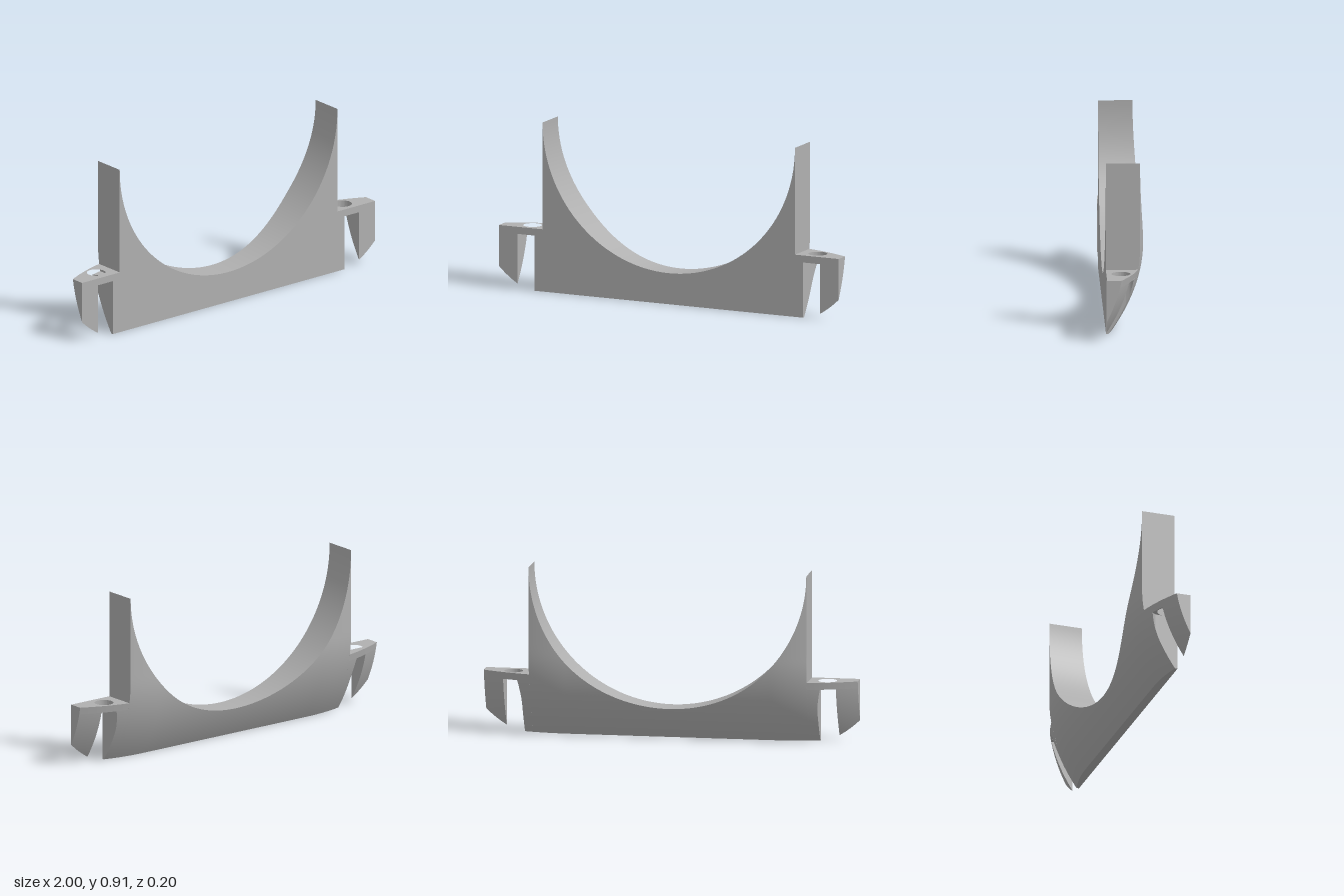
import * as THREE from 'three';
import { mergeGeometries, toCreasedNormals } from 'three/addons/utils/BufferGeometryUtils.js';

const FRONT = 0.1, R = 0.743, CY = 0.91;      // front plane, cradle radius and centre height
const ARM_TOP = 0.335, ARM_UNDER = 0.297;
const SLOT_X = 0.84, SLOT_R = 0.05, SLOT_Z = -0.006;

// curved back: rounds forward towards the bottom and towards both ends
const lower = (y) => 0.77 * Math.max(0, 0.45 - y) ** 2;
const ends = (x) => 0.57 * Math.max(0, Math.abs(x) - 0.55) ** 2;
const back = (x, y) => -0.102 + lower(y) + ends(x);
// height at which the back surface meets depth z
const meet = (x, z) => Math.max(0, 0.45 - Math.sqrt(Math.max(0, z + 0.102 - ends(x)) / 0.77));

const range = (a, b, n) => Array.from({ length: n + 1 }, (_, i) => a + (b - a) * i / n);

// grid surface through p(u, v), with indices running along u then v
function sheet(us, vs, p, flip) {
  const pos = [], idx = [], n = vs.length;
  us.forEach((u) => vs.forEach((v) => pos.push(...p(u, v))));
  for (let i = 0; i < us.length - 1; i++) for (let j = 0; j < n - 1; j++) {
    const a = i * n + j, b = a + n, c = b + 1, d = a + 1;
    idx.push(...(flip ? [a, c, b, a, d, c] : [a, b, c, a, c, d]));
  }
  const g = new THREE.BufferGeometry();
  g.setAttribute('position', new THREE.Float32BufferAttribute(pos, 3));
  g.setIndex(idx);
  g.computeVertexNormals();
  return g;
}

// closed slab between a front depth and the curved back, over ascending x columns
function slab(xs, top, front = () => FRONT) {
  const low = (x) => Math.min(meet(x, front(x)), top(x));
  const yAt = (x, t) => low(x) + (top(x) - low(x)) * t;
  const ts = range(0, 1, 24), ds = [0, 1];
  const depth = (x, y, d) => front(x) + (back(x, y) - front(x)) * d;
  const at = (x, t, d) => { const y = yAt(x, t); return [x, y, depth(x, y, d)]; };
  const x0 = xs[0], x1 = xs[xs.length - 1];
  return mergeGeometries([
    sheet(xs, ts, (x, t) => at(x, t, 0), false),
    sheet(xs, ts, (x, t) => at(x, t, 1), true),
    sheet(xs, ds, (x, d) => at(x, 1, d), false),
    sheet(xs, ds, (x, d) => at(x, 0, d), true),
    sheet(ts, ds, (t, d) => at(x1, t, d), true),
    sheet(ts, ds, (t, d) => at(x0, t, d), false),
  ]);
}

// mounting tab with a vertical screw hole
function tab(s) {
  const shape = new THREE.Shape();
  shape.moveTo(s * R, -FRONT);
  shape.lineTo(s, -FRONT);
  range(1, R, 14).forEach((x) => shape.lineTo(s * x, -back(x, ARM_TOP)));
  shape.closePath();
  const hole = new THREE.Path();
  hole.absarc(s * SLOT_X, -0.023, SLOT_R, 0, Math.PI * 2, true);
  shape.holes.push(hole);
  const g = new THREE.ExtrudeGeometry(shape, { depth: ARM_TOP - ARM_UNDER, bevelEnabled: false, curveSegments: 24 });
  g.rotateX(-Math.PI / 2).translate(0, ARM_UNDER, 0);
  // let the rear edge of the underside follow the curved back
  const p = g.attributes.position;
  for (let i = 0; i < p.count; i++) {
    const x = p.getX(i), y = p.getY(i);
    if (y < ARM_UNDER + 0.01 && Math.abs(p.getZ(i) - back(x, ARM_TOP)) < 1e-4) p.setZ(i, back(x, ARM_UNDER));
  }
  return toCreasedNormals(g, 0.5);
}

export function createModel() {
  const model = new THREE.Group();
  const grey = new THREE.MeshStandardMaterial({ color: 0xb0b0b0 });
  grey.name = 'plain grey';
  const add = (name, geometry) => {
    const m = new THREE.Mesh(geometry, grey);
    m.name = name;
    model.add(m);
  };

  // main plate with the semicircular cradle
  const arc = range(-Math.PI / 2, Math.PI / 2, 96).map((a) => R * Math.sin(a));
  add('cradlePlate', slab(arc, (x) => CY - Math.sqrt(Math.max(0, R * R - x * x))));

  for (const s of [1, -1]) {
    const side = s > 0 ? 'left' : 'right';
    const cols = (a, b, n) => (s > 0 ? range(a, b, n) : range(-b, -a, n));
    const under = () => ARM_UNDER;
    add(side + 'PlateEnd', slab(cols(R, 0.79, 4), under));
    add(side + 'MountingTab', tab(s));
    add(side + 'OuterLeg', slab(cols(0.89, 1, 10), under));
    // rounded rear corner of the screw slot
    add(side + 'SlotCorner', slab(cols(0.79, 0.813, 10), under, (x) =>
      SLOT_Z - Math.sqrt(Math.max(0, SLOT_R ** 2 - (Math.abs(x) - SLOT_X) ** 2))));
  }
  return model;
}
